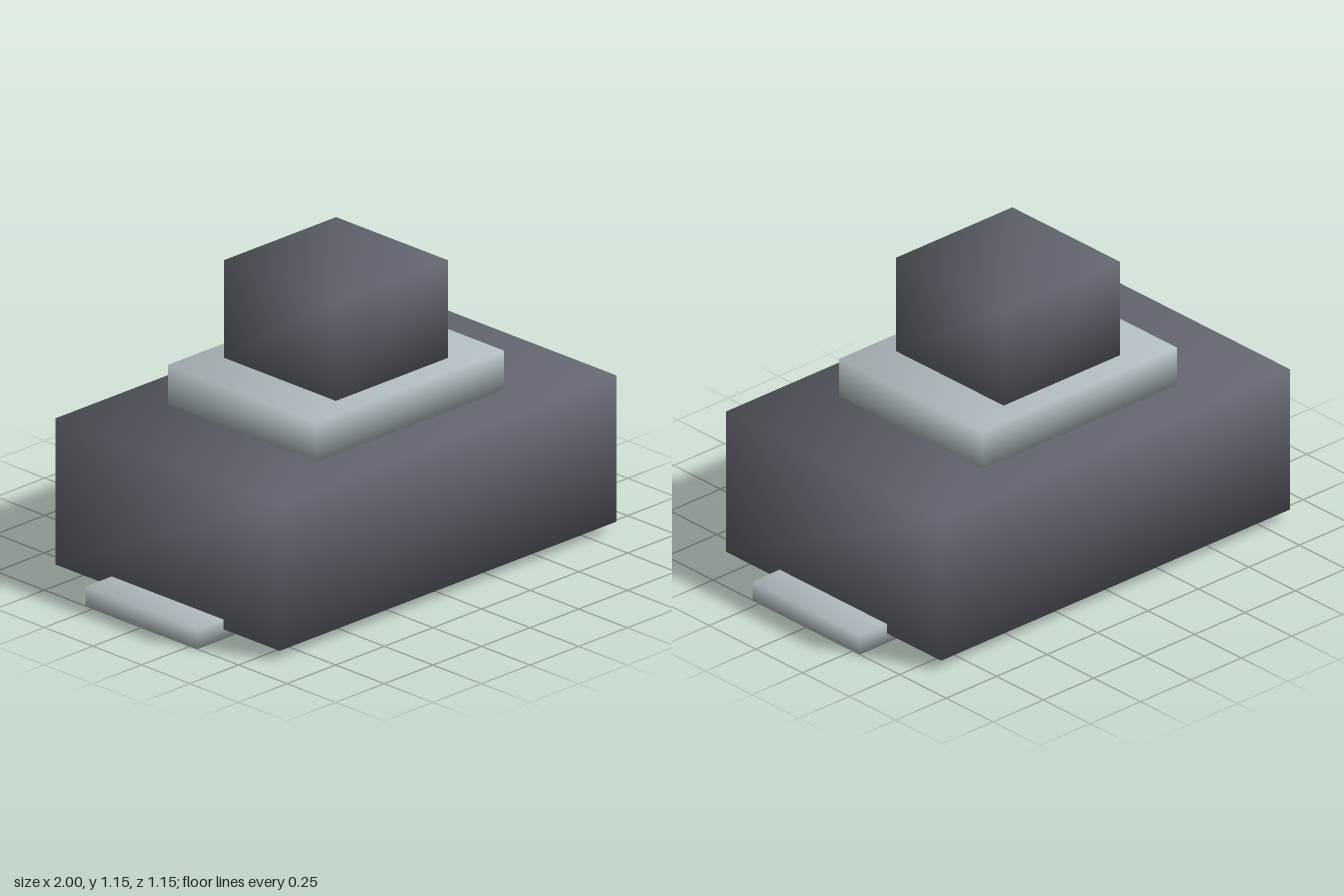
import * as THREE from 'three';
import { mergeVertices } from 'three/addons/utils/BufferGeometryUtils.js';

// Box with shared corners, so its normals are smooth across the edges
function smoothBox(w, h, d) {
  const box = new THREE.BoxGeometry(w, h, d);
  box.deleteAttribute('normal');
  box.deleteAttribute('uv');
  const g = mergeVertices(box);
  g.computeVertexNormals();
  return g;
}

export function createModel() {
  const model = new THREE.Group();
  model.name = 'steppedBlock';

  const dark = new THREE.MeshStandardMaterial({ color: 0x62656e });
  dark.name = 'dark slate';
  const light = new THREE.MeshStandardMaterial({ color: 0xb0bbbf });
  light.name = 'pale grey';

  const u = 2 / 10.4; // module that all sizes are multiples of

  // size in modules, x centre and bottom height in modules
  function addBlock(name, material, [w, h, d], x, bottom) {
    const mesh = new THREE.Mesh(smoothBox(w * u, h * u, d * u), material);
    mesh.name = name;
    mesh.position.set(x * u, (bottom + h / 2) * u, 0);
    model.add(mesh);
  }

  // Main body, collar and top block stacked on the centre line
  addBlock('body', dark, [9, 3, 6], 0, 0.2);
  addBlock('collar', light, [5, 0.8, 4], 0, 3.2);
  addBlock('topBlock', dark, [3, 2, 3], 0, 4);

  // Side feet, partly sunk into the body
  addBlock('leftFoot', light, [1, 0.4, 3], 4.7, 0);
  addBlock('rightFoot', light, [1, 0.4, 3], -4.7, 0);

  return model;
}
